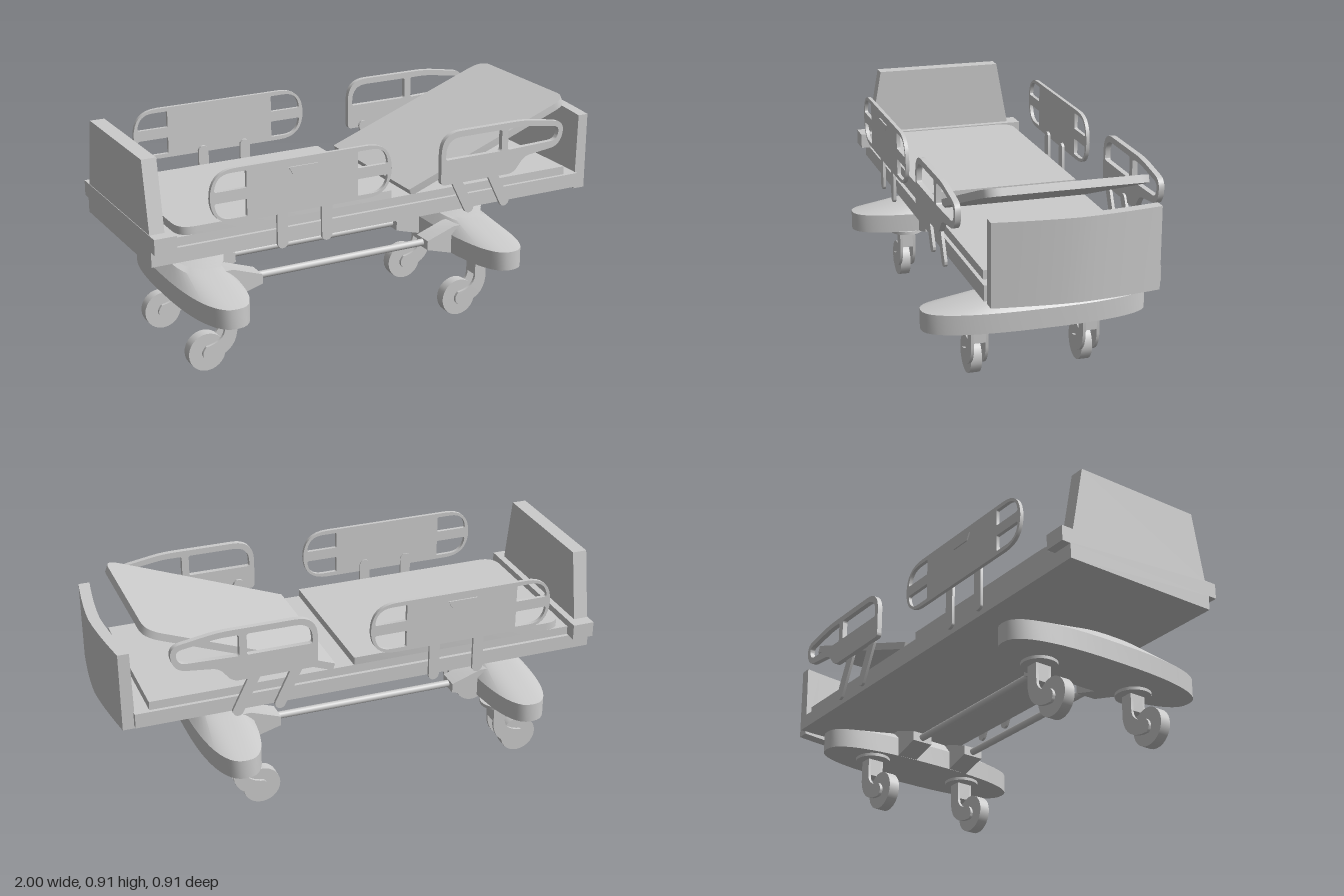
import * as THREE from 'three';
import { toCreasedNormals } from 'three/addons/utils/BufferGeometryUtils.js';

const grey = new THREE.MeshStandardMaterial({ color: 0xcccccc, side: THREE.DoubleSide });
const MID = -0.0175; // centre line of the bed deck in z

function add(parent, name, geometry, x = 0, y = 0, z = 0) {
  const mesh = new THREE.Mesh(geometry, grey);
  mesh.name = name;
  mesh.position.set(x, y, z);
  parent.add(mesh);
  return mesh;
}

// Box given by its limits
function block(parent, name, x0, x1, y0, y1, z0, z1) {
  return add(parent, name, new THREE.BoxGeometry(x1 - x0, y1 - y0, z1 - z0),
    (x0 + x1) / 2, (y0 + y1) / 2, (z0 + z1) / 2);
}

// Closed outline with a rounding radius per corner: [x, y, r]
function rounded(points, path = new THREE.Shape()) {
  const n = points.length;
  points.forEach(([x, y, r], i) => {
    const corner = new THREE.Vector2(x, y);
    const toward = (q) => new THREE.Vector2(q[0], q[1]).sub(corner).setLength(r).add(corner);
    const a = toward(points[(i + n - 1) % n]);
    const b = toward(points[(i + 1) % n]);
    if (i === 0) path.moveTo(a.x, a.y);
    else path.lineTo(a.x, a.y);
    if (r > 0) path.quadraticCurveTo(x, y, b.x, b.y);
  });
  path.closePath();
  return path;
}

// Plate centred on z = 0
function plate(shape, depth) {
  const g = new THREE.ExtrudeGeometry(shape, { depth, bevelEnabled: false, curveSegments: 8 });
  g.translate(0, 0, -depth / 2);
  return toCreasedNormals(g, 0.6);
}

// Straight flat bar with round ends
function bar(x0, y0, x1, y1, width, depth) {
  const a = Math.atan2(y1 - y0, x1 - x0), r = width / 2;
  const s = new THREE.Shape();
  s.absarc(x1, y1, r, a - Math.PI / 2, a + Math.PI / 2);
  s.absarc(x0, y0, r, a + Math.PI / 2, a + Math.PI * 1.5);
  s.closePath();
  return plate(s, depth);
}

// Lathe profile stretched to a long oval foot
function ovalBase() {
  const profile = [[0, 0.255], [1, 0.255], [1, 0.335], [0.45, 0.38], [0, 0.38]];
  const g = new THREE.LatheGeometry(profile.map(([r, y]) => new THREE.Vector2(r, y)), 48);
  const p = g.attributes.position;
  const soft = (v) => Math.sign(v) * Math.abs(v) ** 0.8;
  for (let i = 0; i < p.count; i++) {
    const x = p.getX(i), z = p.getZ(i), r = Math.hypot(x, z);
    if (r < 1e-6) continue;
    p.setX(i, 0.125 * soft(x / r) * r ** 0.45);
    p.setZ(i, 0.455 * soft(z / r) * r);
  }
  return toCreasedNormals(g, 0.5);
}

// Pleated oval sleeve around the lifting column
function bellows() {
  const pts = [];
  for (let i = 0; i < 8; i++) {
    const y = 0.385 + i * 0.0155;
    pts.push(new THREE.Vector2(0.062, y), new THREE.Vector2(0.1, y + 0.008));
  }
  pts.push(new THREE.Vector2(0.062, 0.512));
  return toCreasedNormals(new THREE.LatheGeometry(pts, 32).scale(1, 1, 1.8), 0.5);
}

function caster(parent, x, z) {
  const g = new THREE.Group();
  g.name = 'caster';
  g.position.set(x, 0, z);
  parent.add(g);
  add(g, 'swivelPlate', new THREE.CylinderGeometry(0.072, 0.072, 0.014, 28), 0, 0.249, 0);
  add(g, 'wheel', new THREE.CylinderGeometry(0.078, 0.078, 0.045, 28).rotateX(Math.PI / 2), -0.097, 0.078, 0);
  add(g, 'axle', new THREE.CylinderGeometry(0.015, 0.015, 0.07, 12).rotateX(Math.PI / 2), -0.097, 0.078, 0);
  // Curved fork cheeks
  const s = new THREE.Shape();
  s.moveTo(-0.025, 0.245);
  s.lineTo(-0.025, 0.165);
  s.quadraticCurveTo(-0.03, 0.115, -0.105, 0.105);
  s.quadraticCurveTo(-0.135, 0.075, -0.105, 0.05);
  s.quadraticCurveTo(0.015, 0.05, 0.027, 0.15);
  s.lineTo(0.027, 0.245);
  s.closePath();
  for (const side of [-1, 1]) add(g, 'forkCheek', plate(s, 0.012), 0, 0, side * 0.029);
  block(g, 'forkBridge', -0.025, 0.027, 0.17, 0.245, -0.025, 0.025);
}

// Foot-end guard: solid panel with grip openings at both ends
function footRail(parent, z, legZ, lift, side) {
  const g = new THREE.Group();
  g.name = 'footRail';
  parent.add(g);
  const cx = -0.395, cy = 0.757 + lift;
  const shape = rounded([[-0.385, -0.107, 0.11], [0.385, -0.107, 0.11], [0.385, 0.107, 0.11], [-0.385, 0.107, 0.11]]);
  for (const sx of [-1, 1]) for (const sy of [-1, 1]) {
    shape.holes.push(rounded([[sx * 0.235, sy * 0.022, 0.005], [sx * 0.368, sy * 0.022, 0.01],
      [sx * 0.362, sy * 0.09, 0.065], [sx * 0.235, sy * 0.09, 0.005]], new THREE.Path()));
  }
  add(g, 'guardPanel', plate(shape, 0.015), cx, cy, z);
  add(g, 'latch', plate(rounded([[-0.045, -0.015, 0], [0.045, -0.015, 0], [0.062, 0.015, 0], [-0.062, 0.015, 0]]), 0.01),
    cx, cy + 0.06, z + side * 0.008);
  for (const x of [-0.48, -0.29]) add(g, 'railLeg', bar(x, 0.528, x, 0.68, 0.044, 0.012), 0, 0, legZ);
}

// Head-end guard: open frame over a short panel
function headRail(parent, z, legZ, lift) {
  const g = new THREE.Group();
  g.name = 'headRail';
  parent.add(g);
  const shape = rounded([[0.207, 0.65, 0.02], [0.55, 0.65, 0.03], [0.6, 0.715, 0.03], [0.775, 0.735, 0.05],
    [0.795, 0.835, 0.05], [0.6, 0.867, 0.05], [0.207, 0.867, 0.09]]);
  shape.holes.push(
    rounded([[0.228, 0.753, 0.01], [0.49, 0.753, 0.01], [0.49, 0.842, 0.01], [0.228, 0.842, 0.07]], new THREE.Path()),
    rounded([[0.52, 0.753, 0.01], [0.757, 0.76, 0.03], [0.77, 0.817, 0.03], [0.6, 0.842, 0.03], [0.52, 0.842, 0.01]], new THREE.Path()));
  add(g, 'guardFrame', plate(shape, 0.022), 0, lift, z);
  for (const x of [0.28, 0.45]) add(g, 'railLeg', bar(x, 0.68, x + 0.075, 0.528, 0.044, 0.012), 0, 0, legZ);
}

export function createModel() {
  const bed = new THREE.Group();
  bed.name = 'hospitalBed';

  // Deck and mattress
  block(bed, 'frame', -1, 0.92, 0.51, 0.57, MID - 0.34, MID + 0.34);
  block(bed, 'deck', -0.91, 0.86, 0.57, 0.605, MID - 0.325, MID + 0.325);
  const legRest = rounded([[-0.88, -0.325, 0.07], [0.03, -0.325, 0.005], [0.03, 0.325, 0.005], [-0.88, 0.325, 0.07]]);
  add(bed, 'legMattress', plate(legRest, 0.032).rotateX(-Math.PI / 2), 0, 0.621, MID);
  const backRest = rounded([[0, -0.325, 0.005], [0.8, -0.325, 0.07], [0.8, 0.325, 0.07], [0, 0.325, 0.005]]);
  add(bed, 'raisedBackrest', plate(backRest, 0.03).rotateX(-Math.PI / 2), 0.113, 0.612, MID).rotation.z = 0.361;

  // Footboard: tapered panel on a wide crossbar
  block(bed, 'footCrossbar', -1, -0.91, 0.57, 0.633, MID - 0.378, MID + 0.378);
  const foot = rounded([[-0.327, 0.63, 0], [0.327, 0.63, 0], [0.275, 0.912, 0], [-0.275, 0.912, 0]]);
  add(bed, 'footboard', plate(foot, 0.06).rotateY(Math.PI / 2), -0.968, 0, MID);

  // Headboard: bowed outwards, slightly thinner at the top
  const head = new THREE.BoxGeometry(0.05, 0.322, 0.645, 1, 1, 10);
  const hp = head.attributes.position;
  for (let i = 0; i < hp.count; i++) {
    const bow = 0.034 * (1 - Math.abs(hp.getZ(i) / 0.3225) ** 1.5);
    const up = hp.getY(i) > 0;
    hp.setX(i, hp.getX(i) * (up ? 0.9 : 1) + bow + (up ? 0.004 : 0));
  }
  add(bed, 'headboard', toCreasedNormals(head, 0.5), 0.94, 0.659, MID + 0.005);

  // Side guards
  footRail(bed, 0.366, 0.36, 0, 1);
  footRail(bed, -0.408, -0.391, 0.022, -1);
  headRail(bed, 0.378, 0.36, 0);
  headRail(bed, -0.405, -0.391, 0.022);

  // Undercarriage: feet, lifting columns, casters and tie bars
  for (const [x, dir] of [[-0.715, 1], [0.515, -1]]) {
    const columnX = x + dir * 0.022 - (dir < 0 ? -0.012 : 0);
    add(bed, 'baseFoot', ovalBase(), x, 0, 0);
    add(bed, 'liftBellows', bellows(), columnX, 0, -0.01);
    for (const z of [0.22, -0.24]) caster(bed, x + (dir > 0 ? 0.057 : -0.023), z);
    const wedge = rounded([[0, 0.255, 0], [0.12, 0.255, 0], [0.235, 0.288, 0], [0.235, 0.328, 0], [0.11, 0.372, 0], [0, 0.372, 0]]
      .map(([px, py, r]) => [dir * px, py, r]));
    for (const z of [-0.13, 0.13]) add(bed, 'tieBracket', plate(wedge, 0.09), x, 0, z);
  }
  for (const z of [-0.13, 0.13]) {
    add(bed, 'tieBar', new THREE.CylinderGeometry(0.015, 0.015, 0.8, 16).rotateZ(Math.PI / 2), -0.1, 0.309, z);
  }
  return bed;
}
